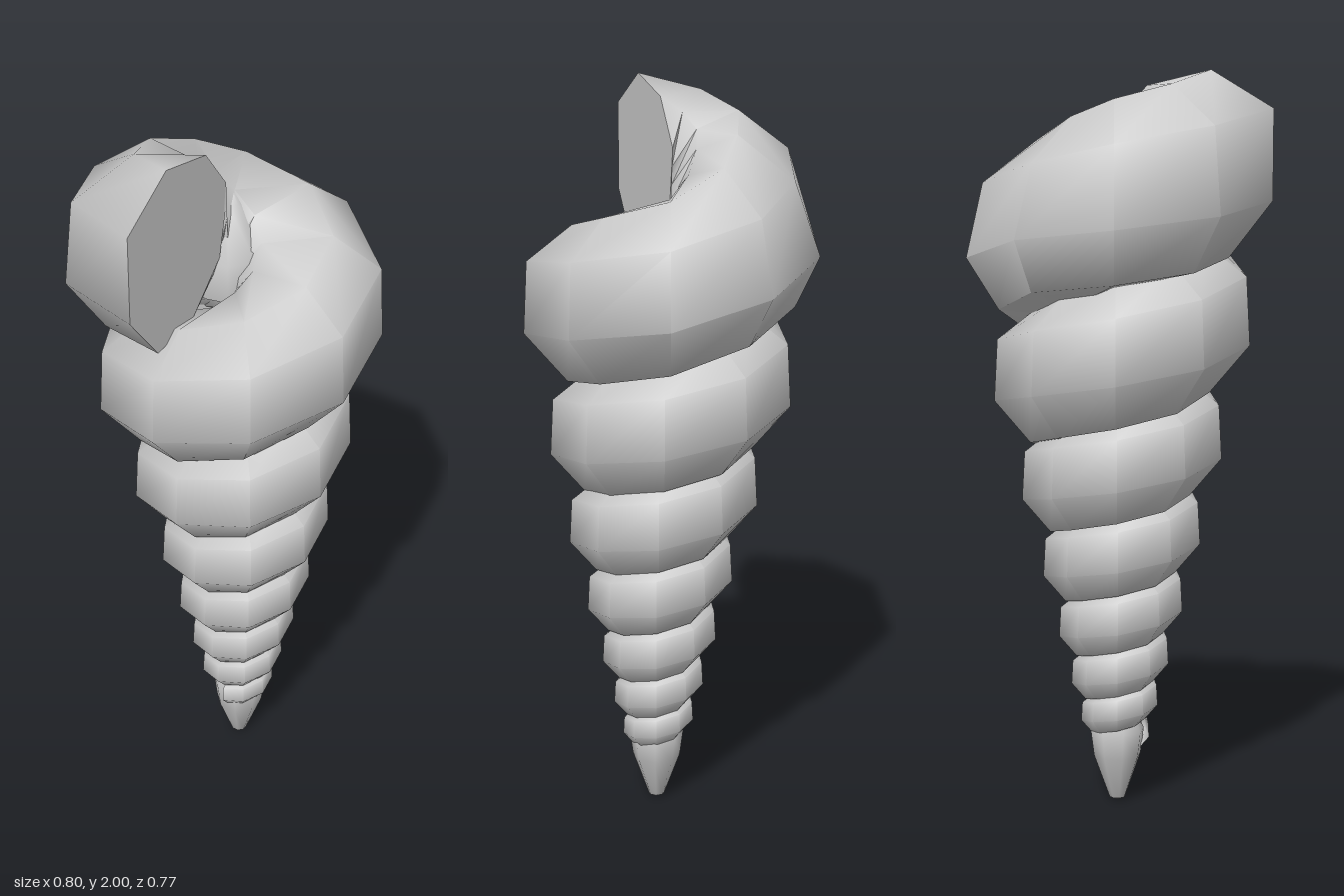
import * as THREE from 'three';
import { toCreasedNormals } from 'three/addons/utils/BufferGeometryUtils.js';

const { smoothstep, lerp, degToRad } = THREE.MathUtils;
const STEPS_PER_TURN = 9;
const TURNS = 7;
const START = degToRad(157);

// Cross-sections: [distance from axis, height from section centre]
const MOUTH = [
  [0.26, 0.25], [0.09, 0.21], [0.0, 0.09], [0.03, -0.11],
  [0.15, -0.22], [0.31, -0.24], [0.425, -0.09], [0.425, 0.15],
];
const BACK = [
  [0.18, 0.28], [0.07, 0.24], [0.0, 0.09], [0.03, -0.11],
  [0.15, -0.22], [0.34, -0.18], [0.405, -0.04], [0.335, 0.16],
];
const WHORL = [
  [0.29, 0.25], [0.09, 0.22], [0.0, 0.09], [0.03, -0.11],
  [0.15, -0.22], [0.31, -0.23], [0.44, -0.075], [0.428, 0.145],
];

// One ring of the spiral, t turns down from the mouth
function ring(t) {
  const shrink = 0.79 ** t;
  const scale = Math.min(1, 1.05 * shrink);
  const y = -0.15 + 1.9 * shrink - 0.018 * smoothstep(t, 0.7, 1.2);
  const a = START + t * Math.PI * 2;
  const lean = Math.min(1, t / 3);
  const toBack = Math.min(1, t / 0.33);
  const toWhorl = smoothstep(t, 0.33, 0.6);
  return MOUTH.map((m, j) => {
    const [r, h] = m.map((v, c) => scale * lerp(lerp(v, BACK[j][c], toBack), WHORL[j][c], toWhorl));
    return new THREE.Vector3(
      r * Math.cos(a) + 0.015 * lean,
      y + h,
      r * Math.sin(a) + 0.045 * lean,
    );
  });
}

function makeGeometry(points, index) {
  const g = new THREE.BufferGeometry().setFromPoints(points);
  g.setIndex(index);
  g.computeVertexNormals();
  return g;
}

export function createModel() {
  const group = new THREE.Group();
  group.name = 'spiralShell';
  const material = new THREE.MeshStandardMaterial({ color: 0xcccccc, side: THREE.DoubleSide });
  const add = (name, geometry) => {
    const mesh = new THREE.Mesh(geometry, material);
    mesh.name = name;
    group.add(mesh);
    return mesh;
  };
  const lathe = (profile, sides) =>
    new THREE.LatheGeometry(profile.map(([x, y]) => new THREE.Vector2(x, y)), sides);

  // Coiled whorls, shrinking as they wind down to the tip
  const n = MOUTH.length;
  const rings = STEPS_PER_TURN * TURNS;
  const points = [];
  const index = [];
  for (let i = 0; i <= rings; i++) {
    points.push(...ring(i / STEPS_PER_TURN));
    if (i === rings) break;
    for (let j = 0; j < n; j++) {
      const k = (j + 1) % n;
      const a = i * n + j, b = i * n + k, c = a + n, d = b + n;
      index.push(a, b, c, b, d, c);
    }
  }
  add('whorls', toCreasedNormals(makeGeometry(points, index), 0.95));

  // Flat face closing the mouth
  const rim = ring(0);
  const centre = rim.reduce((s, p) => s.add(p), new THREE.Vector3()).divideScalar(n);
  const capIndex = rim.flatMap((_, j) => [n, (j + 1) % n, j]);
  add('mouth', makeGeometry([...rim, centre], capIndex));

  // Central column filling the hollow between the top whorls
  const column = add('columella', lathe([[0.1, 1.5], [0.12, 1.62], [0.04, 1.75], [0, 1.8]], 10));
  column.position.set(0.05, 0, -0.06);

  // Rounded pointed tip
  const tip = add('tip', lathe(
    [[0, 0], [0.022, 0.008], [0.066, 0.13], [0.075, 0.2], [0.05, 0.26], [0, 0.3]], 8));
  tip.position.set(0.015, 0, 0.045);

  return group;
}
